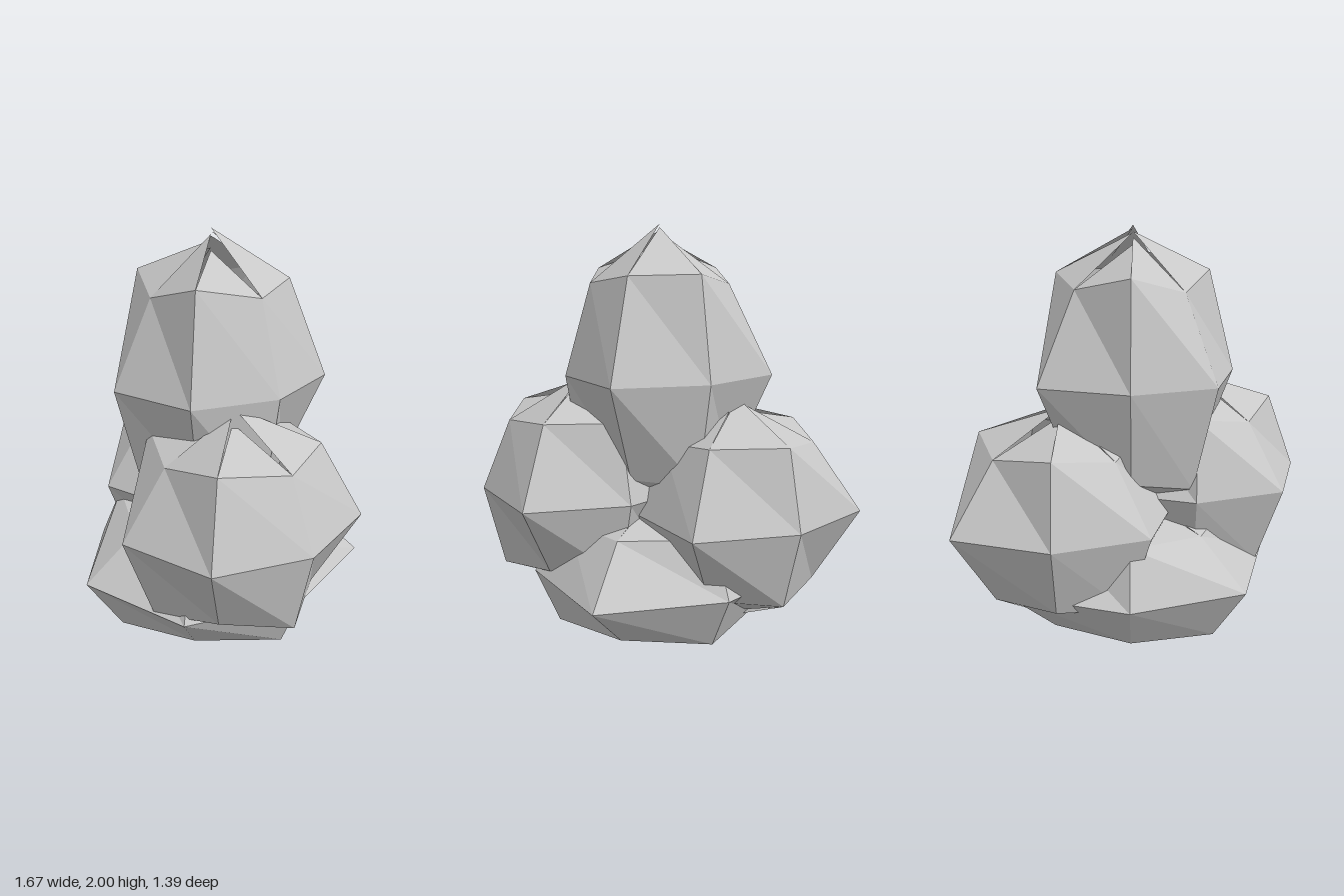
import * as THREE from 'three';

const SIDES = 7;

// Radius and height of each ring vertex of the shared boulder, going round from +x towards +z
const upper = { r: [0.36, 0.40, 0.33, 0.405, 0.354, 0.406, 0.39], y: [0.325, 0.37, 0.31, 0.37, 0.32, 0.36, 0.355] };
const middle = { r: [0.495, 0.54, 0.535, 0.495, 0.58, 0.50, 0.59], y: [0, 0, 0, 0, 0, 0, 0] };
const lower = { r: [0.405, 0.355, 0.395, 0.36, 0.37, 0.395, 0.37], y: [-0.385, -0.335, -0.385, -0.345, -0.345, -0.37, -0.345] };

// Each end facet has its own tip height, which leaves the rough, cracked peaks
const topTips = [0.45, 0.505, 0.485, 0.46, 0.50, 0.515, 0.527];
const bottomTips = [0.51, 0.50, 0.52, 0.53, 0.565, 0.54, 0.53];

function boulderGeometry() {
  const points = [];
  const ringPoint = (ring, i) => {
    const a = (i * Math.PI * 2) / SIDES;
    return [ring.r[i] * Math.cos(a), ring.y[i], ring.r[i] * Math.sin(a)];
  };
  const tri = (...corners) => corners.forEach((c) => points.push(...c));

  for (let i = 0; i < SIDES; i++) {
    const right = i;
    const left = (i + 1) % SIDES;
    // Peak facet
    tri([0, topTips[i], 0], ringPoint(upper, left), ringPoint(upper, right));
    // Two bands of split quads
    for (const [hi, lo] of [[upper, middle], [middle, lower]]) {
      tri(ringPoint(hi, right), ringPoint(hi, left), ringPoint(lo, right));
      tri(ringPoint(hi, left), ringPoint(lo, left), ringPoint(lo, right));
    }
    // Underside facet
    tri([0, -bottomTips[i], 0], ringPoint(lower, right), ringPoint(lower, left));
  }
  const geometry = new THREE.BufferGeometry();
  geometry.setAttribute('position', new THREE.Float32BufferAttribute(points, 3));
  geometry.computeVertexNormals();
  return geometry;
}

export function createModel() {
  const group = new THREE.Group();
  group.name = 'rockPile';

  // Double sided so the insides show through the cracks
  const stone = new THREE.MeshStandardMaterial({ color: 0xc8c8c8, flatShading: true, side: THREE.DoubleSide });
  stone.name = 'paleStoneGrey';
  const geometry = boulderGeometry();

  // name, centre, scale
  const boulders = [
    ['baseBoulder', [0, 0.39, 0], [1.25, 0.69, 1.25]],
    ['leftBoulder', [0.335, 0.77, 0.17], [1, 1, 1]],
    ['rightBoulder', [-0.315, 0.70, -0.21], [1, 1, 1]],
    ['topBoulder', [0, 1.32, 0], [0.91, 1.29, 0.91]],
  ];
  for (const [name, position, scale] of boulders) {
    const mesh = new THREE.Mesh(geometry, stone);
    mesh.name = name;
    mesh.position.set(...position);
    mesh.scale.set(...scale);
    group.add(mesh);
  }
  return group;
}
